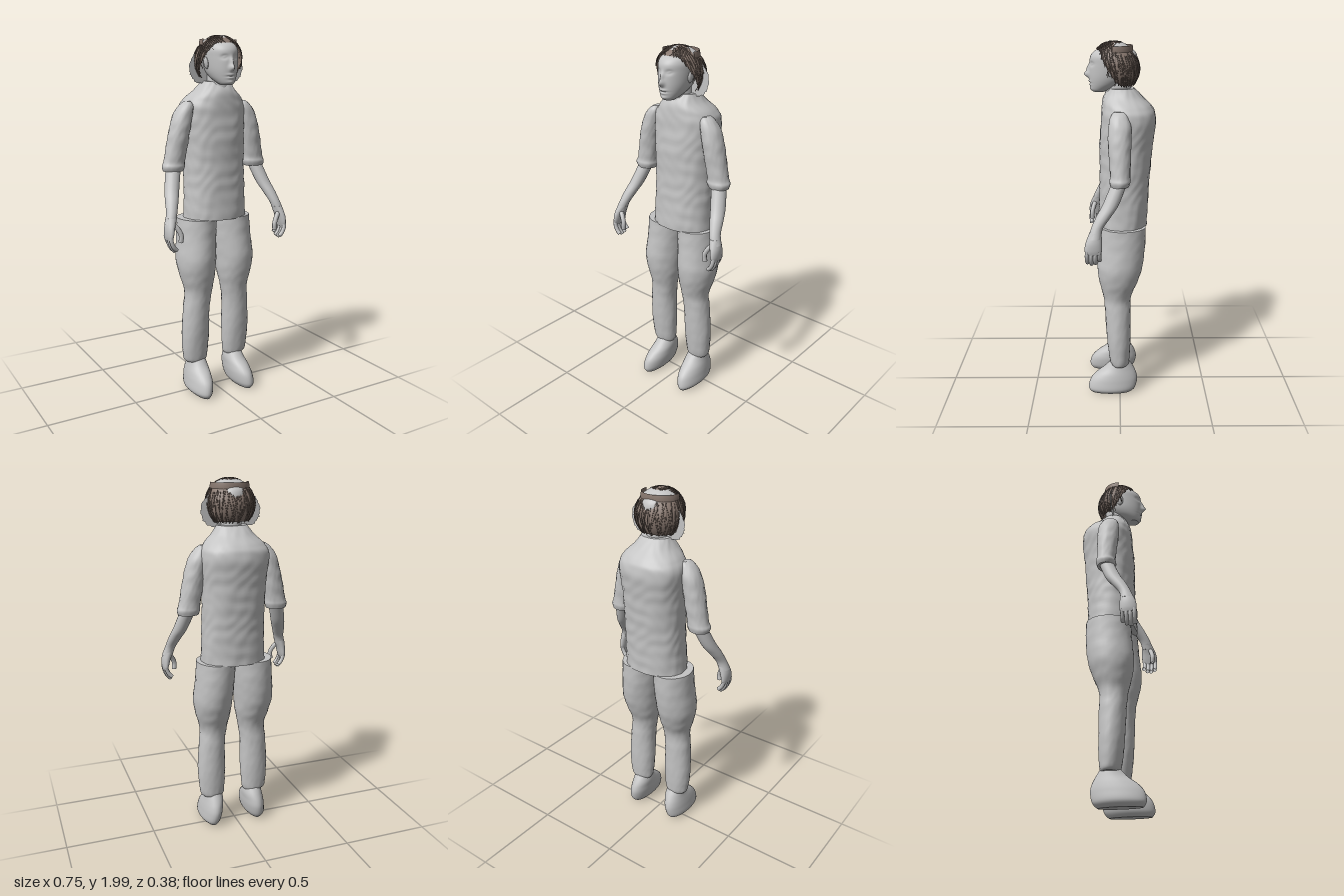
import * as THREE from 'three';

const CX = 0.008; // mirror line of the limbs
const MID = 0.018; // middle of the head

const mat = (name, color) => {
  const m = new THREE.MeshStandardMaterial({ color, side: THREE.DoubleSide });
  m.name = name;
  return m;
};
const grey = mat('plain grey', 0xc4c4c4);
const brown = mat('hair brown', 0x87776e);
const dark = mat('strand brown', 0x6b5d55);

let seed = 7;
const rand = () => (seed = (seed * 16807) % 2147483647) / 2147483647;

function mesh(geo, material, name) {
  const m = new THREE.Mesh(geo, material);
  m.name = name;
  return m;
}

// Smooth value between neighbouring cross-sections
function spline(a, b, c, d, t) {
  return b + 0.5 * t * (c - a + t * (2 * a - 5 * b + 4 * c - d + t * (3 * (b - c) + d - a)));
}

// Skin over horizontal oval sections, lowest first: [y, xLow, xHigh, zFront, zBack]
function loft(sections, { seg = 32, sub = 6, power = 2, warp } = {}) {
  const pos = [], idx = [], last = sections.length - 1;
  const rows = last * sub + 1;
  const at = (i) => sections[Math.min(last, Math.max(0, i))];
  const oval = (v) => Math.sign(v) * Math.abs(v) ** (2 / power);
  for (let r = 0; r < rows; r++) {
    const k = Math.min(Math.floor(r / sub), last - 1), t = r / sub - k;
    const [y, x0, x1, zf, zb] = at(k).map((_, c) => spline(at(k - 1)[c], at(k)[c], at(k + 1)[c], at(k + 2)[c], t));
    for (let j = 0; j < seg; j++) {
      const a = (j / seg) * Math.PI * 2;
      const p = new THREE.Vector3((x0 + x1) / 2 + (x1 - x0) / 2 * oval(Math.sin(a)), y,
        (zf + zb) / 2 + (zf - zb) / 2 * oval(Math.cos(a)));
      if (warp) warp(p, a);
      pos.push(p.x, p.y, p.z);
      if (r < rows - 1) {
        const A = r * seg + j, B = r * seg + (j + 1) % seg;
        idx.push(A, B, B + seg, A, B + seg, A + seg);
      }
    }
  }
  // flat ends with their own corners
  for (const top of [false, true]) {
    const s = at(top ? last : 0), from = top ? (rows - 1) * seg : 0, base = pos.length / 3;
    for (let j = 0; j < seg; j++) pos.push(...pos.slice((from + j) * 3, (from + j) * 3 + 3));
    pos.push((s[1] + s[2]) / 2, s[0], (s[3] + s[4]) / 2);
    for (let j = 0; j < seg; j++) {
      const A = base + j, B = base + (j + 1) % seg;
      idx.push(base + seg, top ? A : B, top ? B : A);
    }
  }
  const g = new THREE.BufferGeometry();
  g.setAttribute('position', new THREE.Float32BufferAttribute(pos, 3));
  g.setIndex(idx);
  g.computeVertexNormals();
  return g;
}

// Same sections measured outward from the mirror line
const sided = (sections, s) => sections.map(([y, a, b, f, k]) => [y, CX + Math.min(s * a, s * b), CX + Math.max(s * a, s * b), f, k]);

const tube = (pts, radius, steps = 10, sides = 8) =>
  new THREE.TubeGeometry(new THREE.CatmullRomCurve3(pts.map((p) => new THREE.Vector3(...p))), steps, radius, sides);

// Soft irregular dents in the cloth
const crease = (amount) => (p, a) => {
  const w = amount * (Math.sin(a * 9 + 2 * Math.sin(p.y * 23)) * Math.sin(p.y * 53 + 2 * Math.sin(a * 5))
    + 0.6 * Math.sin(a * 4 + p.y * 31) * Math.sin(a * 3 - p.y * 47));
  p.x += w * Math.sin(a);
  p.z += w * Math.cos(a);
};

// Face relief: [x offset, y, width, height, depth]
const FACE = [
  [0, 1.825, 0.013, 0.016, 0.026], [0, 1.855, 0.009, 0.022, 0.014],
  [-0.034, 1.88, 0.016, 0.011, -0.009], [0.034, 1.88, 0.016, 0.011, -0.009],
  [-0.034, 1.88, 0.009, 0.005, 0.006], [0.034, 1.88, 0.009, 0.005, 0.006],
  [0, 1.79, 0.022, 0.006, 0.006], [0, 1.773, 0.02, 0.006, 0.005],
  [0, 1.781, 0.024, 0.003, -0.005], [0, 1.75, 0.02, 0.01, 0.006],
];
function faceRelief(p, a) {
  if (Math.cos(a) < 0) return;
  for (const [x, y, w, h, d] of FACE) {
    p.z += d * Math.exp(-(((p.x - MID - x) / w) ** 2) - ((p.y - y) / h) ** 2);
  }
}

// Point on the hair dome: a runs round from the front, f down from the crown
function dome(a, f, grow = 0) {
  const s = Math.sin(f), c = Math.cos(f);
  const rz = Math.cos(a) > 0 ? 0.138 : 0.112;
  return [MID + (0.132 + grow) * s * Math.sin(a), 1.862 + (0.131 + grow) * c,
    0.008 + 0.02 * Math.max(c, 0) + (rz + grow) * s * Math.cos(a)];
}
const hem = (a) => 0.8 + 1.5 * THREE.MathUtils.smoothstep(Math.abs(a), 0.55, 1.75);

// Piece of the dome, lifted by growTop at its upper edge and growLow at its lower one
function domePatch(a0, a1, f0, f1, growTop, growLow = growTop) {
  const g = new THREE.PlaneGeometry(1, 1, 48, 14), p = g.attributes.position;
  for (let i = 0; i < p.count; i++) {
    const a = a0 + (p.getX(i) + 0.5) * (a1 - a0), t = 0.5 - p.getY(i);
    p.setXYZ(i, ...dome(a, f0 + t * ((f1 ?? hem(a)) - f0), growTop + t * (growLow - growTop)));
  }
  g.computeVertexNormals();
  return g;
}

// One strand lying on the dome from (a0, f0) to (a1, f1)
function strand(a0, f0, a1, f1, radius, name) {
  const pts = [0, 1, 2, 3, 4].map((k) => dome(a0 + (a1 - a0) * k / 4, f0 + (f1 - f0) * k / 4, 0.002));
  return mesh(tube(pts, radius, 8, 4), dark, name);
}

function buildHair() {
  const hair = new THREE.Group();
  hair.name = 'hair';
  hair.add(mesh(domePatch(-Math.PI, Math.PI, 0.02, null, 0), brown, 'hairCap'));
  // bare band round the back of the crown inside a raised rim, and the bare parting
  hair.add(mesh(domePatch(1.5, 2 * Math.PI - 1.5, 0.36, 0.86, 0.002), grey, 'crownBand'));
  hair.add(mesh(domePatch(1.4, 2 * Math.PI - 1.4, 0.74, 0.92, 0.02, 0.001), brown, 'crownRim'));
  hair.add(mesh(domePatch(-0.35, 0.35, 0.05, 0.5, 0.002), grey, 'partingPatch'));
  // crossing strands on the back and sides
  for (let i = 0; i < 84; i++) {
    const a = (i / 84) * 2 * Math.PI - Math.PI + (rand() - 0.5) * 0.1;
    const lean = (rand() - 0.5) * 0.8, start = 0.88 + rand() * 0.2;
    const end = hem(a) + (rand() - 0.3) * 0.12;
    if (end > start + 0.25) hair.add(strand(a - lean / 2, start, a + lean / 2, end, 0.002, 'strand'));
  }
  // crossing strands on the crown
  for (let i = 0; i < 20; i++) {
    const a = (i / 20) * 2 * Math.PI, lean = (rand() - 0.5) * 2;
    hair.add(strand(a, 0.12 + rand() * 0.15, a + lean, 0.34 + rand() * 0.06, 0.0018, 'crownStrand'));
  }
  // locks framing the face, combed aside in two crossing directions
  for (const s of [-1, 1]) for (let i = 0; i < 10; i++) {
    const a = 0.12 + i * 0.13;
    hair.add(strand(s * a, 0.3 + rand() * 0.1, s * (a + 0.3), hem(a + 0.3) + 0.03, 0.0025, 'frontLock'));
    if (i % 2) hair.add(strand(s * (a + 0.4), 0.4, s * (a - 0.1), 0.8, 0.002, 'crossLock'));
  }
  // ragged flat sheet fanning out beside the head
  const sheet = new THREE.Shape();
  const round = (v) => Math.sign(v) * Math.abs(v) ** 0.62;
  for (let i = 0; i <= 90; i++) {
    const a = (i / 90) * Math.PI * 2, r = 1 - 0.07 * rand();
    const x = MID + 0.17 * r * round(Math.cos(a)) * (Math.sin(a) > 0 ? 1 - 0.2 * Math.sin(a) : 1);
    const y = 1.835 + 0.1 * r * round(Math.sin(a));
    if (i) sheet.lineTo(x, y);
    else sheet.moveTo(x, y);
  }
  hair.add(mesh(new THREE.ShapeGeometry(sheet), grey, 'hairSheet'));
  return hair;
}

function buildArm(s) {
  const arm = new THREE.Group();
  arm.name = s > 0 ? 'leftArm' : 'rightArm';
  arm.add(mesh(loft(sided([[1.285, 0.2, 0.312, 0.048, -0.048], [1.31, 0.19, 0.319, 0.056, -0.054],
    [1.34, 0.19, 0.308, 0.052, -0.052], [1.42, 0.175, 0.292, 0.056, -0.056], [1.5, 0.162, 0.275, 0.062, -0.058],
    [1.58, 0.145, 0.25, 0.06, -0.056], [1.63, 0.14, 0.215, 0.048, -0.04], [1.652, 0.155, 0.185, 0.03, -0.02]], s),
  { warp: crease(0.0016) }), grey, 'sleeve'));
  arm.add(mesh(loft(sided([[1.03, 0.315, 0.374, 0.165, 0.098], [1.08, 0.3, 0.358, 0.15, 0.088],
    [1.14, 0.275, 0.345, 0.122, 0.045], [1.2, 0.25, 0.328, 0.088, 0.004], [1.31, 0.215, 0.297, 0.04, -0.04]], s),
  { seg: 20 }), grey, 'forearm'));
  arm.add(mesh(loft(sided([[0.945, 0.346, 0.37, 0.178, 0.1], [0.97, 0.338, 0.375, 0.184, 0.094],
    [1.01, 0.326, 0.375, 0.178, 0.094], [1.06, 0.306, 0.364, 0.158, 0.096]], s), { seg: 20 }), grey, 'palm'));
  const x = (u) => CX + s * u;
  for (let i = 0; i < 4; i++) {
    const z = 0.107 + i * 0.021, drop = [0.02, 0.004, 0, 0.008][i];
    arm.add(mesh(tube([[x(0.36), 0.965, z], [x(0.357), 0.93 + drop, z + 0.002], [x(0.345), 0.903 + drop, z + 0.002],
      [x(0.328), 0.884 + drop, z]], 0.0115), grey, 'finger'));
  }
  arm.add(mesh(tube([[x(0.338), 1.03, 0.145], [x(0.312), 1.0, 0.158], [x(0.297), 0.965, 0.165],
    [x(0.3), 0.93, 0.163]], 0.0135), grey, 'thumb'));
  return arm;
}

function buildLeg(s) {
  const leg = new THREE.Group();
  leg.name = s > 0 ? 'leftLeg' : 'rightLeg';
  leg.add(mesh(loft(sided([[0.18, 0.068, 0.188, 0.048, -0.046], [0.21, 0.058, 0.203, 0.058, -0.054],
    [0.34, 0.05, 0.212, 0.074, -0.06], [0.5, 0.05, 0.203, 0.084, -0.06], [0.6, 0.038, 0.195, 0.092, -0.062],
    [0.69, 0.02, 0.218, 0.113, -0.095], [0.78, 0.012, 0.232, 0.125, -0.123], [0.9, 0.004, 0.222, 0.115, -0.138],
    [1.015, -0.002, 0.214, 0.108, -0.14]], s), { warp: crease(0.0014) }), grey, 'trouserLeg'));
  leg.add(mesh(loft(sided([[0.002, 0.1, 0.175, 0.168, -0.062], [0.03, 0.08, 0.198, 0.183, -0.088],
    [0.08, 0.07, 0.195, 0.172, -0.1], [0.12, 0.068, 0.188, 0.138, -0.094], [0.16, 0.068, 0.178, 0.085, -0.075],
    [0.21, 0.08, 0.168, 0.04, -0.042]], s)), grey, 'shoe'));
  return leg;
}

export function createModel() {
  const model = new THREE.Group();
  model.name = 'standingFigure';
  // shirt, rounded at the shoulders and up to the collar
  model.add(mesh(loft([[1.01, -0.165, 0.195, 0.12, -0.15], [1.15, -0.158, 0.192, 0.115, -0.155],
    [1.3, -0.155, 0.19, 0.11, -0.165], [1.45, -0.16, 0.19, 0.11, -0.178], [1.6, -0.172, 0.2, 0.1, -0.192],
    [1.66, -0.145, 0.178, 0.096, -0.168], [1.71, -0.095, 0.13, 0.085, -0.12], [1.755, -0.062, 0.1, 0.058, -0.075]],
  { seg: 64, sub: 10, power: 2.25, warp: crease(0.002) }), grey, 'shirt'));
  model.add(mesh(loft([[1.68, -0.045, 0.082, 0.085, -0.065], [1.75, -0.04, 0.076, 0.075, -0.06],
    [1.82, -0.04, 0.076, 0.07, -0.06]], { seg: 24 }), grey, 'neck'));
  // head with modelled face
  model.add(mesh(loft([[1.736, -0.012, 0.048, 0.14, 0.08], [1.75, -0.028, 0.064, 0.152, 0.04],
    [1.78, -0.048, 0.084, 0.157, -0.02], [1.82, -0.062, 0.098, 0.16, -0.065], [1.88, -0.07, 0.106, 0.158, -0.09],
    [1.92, -0.07, 0.106, 0.152, -0.09], [1.95, -0.056, 0.092, 0.122, -0.07], [1.972, -0.02, 0.056, 0.06, -0.02]],
  { seg: 96, sub: 10, warp: faceRelief }), grey, 'head'));
  for (const s of [-1, 1]) {
    const ear = mesh(new THREE.SphereGeometry(1, 14, 10), grey, 'ear');
    ear.scale.set(0.01, 0.032, 0.019);
    ear.position.set(MID + s * 0.088, 1.85, 0.045);
    ear.rotation.z = -s * 0.15;
    model.add(ear);
  }
  model.add(buildHair());
  for (const s of [-1, 1]) model.add(buildArm(s), buildLeg(s));
  return model;
}
